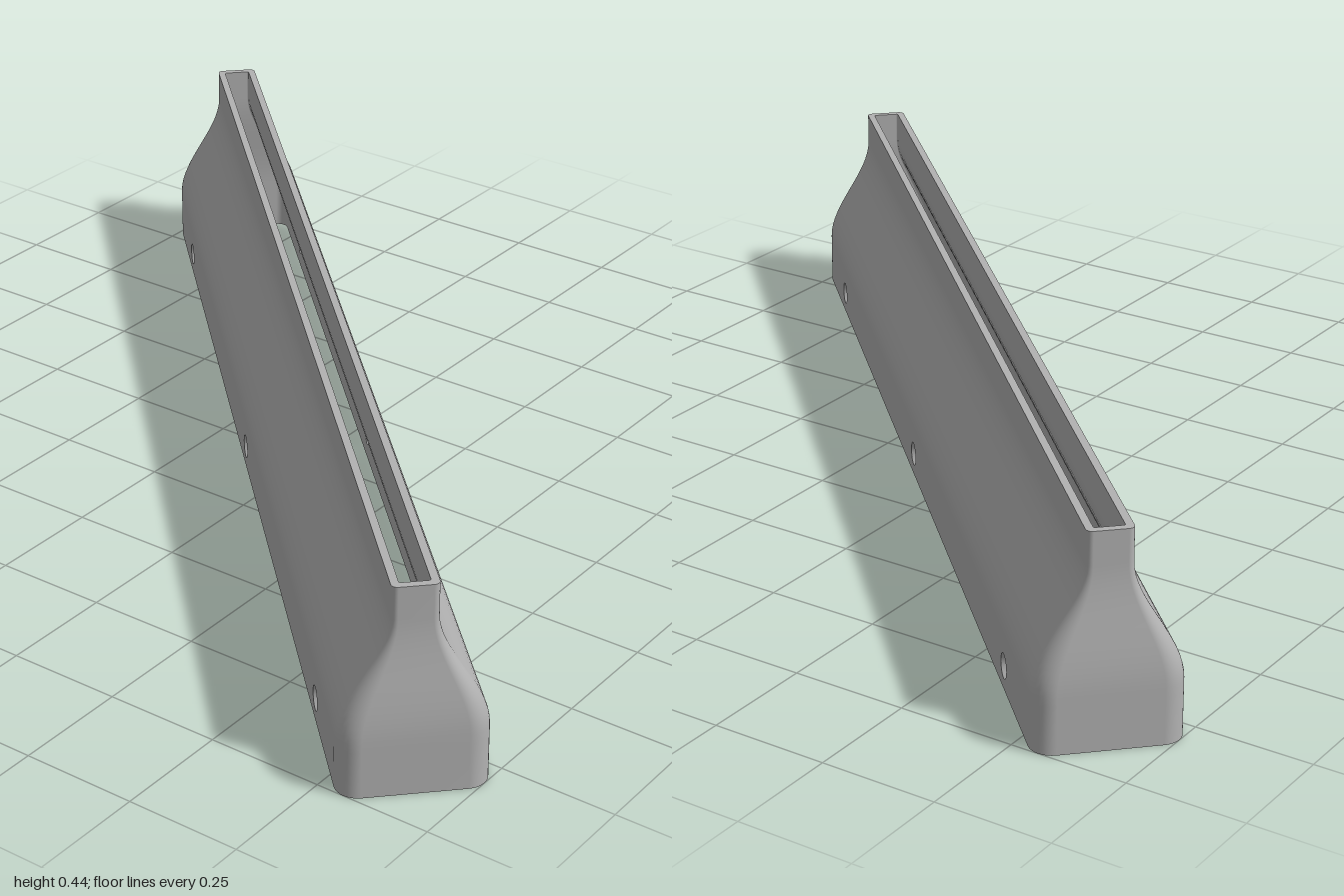
import * as THREE from 'three';

const BASE = { a: 1.293, b: 0.1475, r: 0.045 }; // half length, half width, corner radius
const NECK = { a: 1.269, b: 0.046, r: 0.013 };
const HEIGHT = 0.44, PANEL = 0.1, WALL = 0.02, RIM = 0.016, N = 8;
const SIDE = N + 1; // points per rounded corner

// Rounded-rectangle cross-section at height y, moved inwards for the inner skin
function ring(y, inner) {
  const s = THREE.MathUtils.smoothstep(y, 0.12, 0.37);
  const t = inner ? THREE.MathUtils.lerp(WALL, RIM, s) : 0;
  const mix = (k) => THREE.MathUtils.lerp(BASE[k], NECK[k], s) - t;
  const a = mix('a'), b = mix('b'), r = Math.max(mix('r'), 0.004);
  const points = [];
  for (let k = 0; k < 4; k++) {
    const cx = (k === 0 || k === 3 ? 1 : -1) * (a - r);
    const cz = (k < 2 ? 1 : -1) * (b - r);
    for (let i = 0; i <= N; i++) {
      const angle = (k + i / N) * Math.PI / 2;
      points.push([cx + r * Math.cos(angle), y, cz + r * Math.sin(angle)]);
    }
  }
  return points;
}

// Skin through the rings; openBand leaves out the long sides of one band
function loft(rings, openBand = -1) {
  const count = rings[0].length, full = [], kept = [];
  for (let j = 0; j < rings.length - 1; j++) {
    for (let i = 0; i < count; i++) {
      const a = j * count + i, b = j * count + (i + 1) % count;
      const quad = [a, a + count, b, b, a + count, b + count];
      full.push(...quad);
      const longSide = i === N || i === 2 * SIDE + N;
      if (!(j === openBand && longSide)) kept.push(...quad);
    }
  }
  const geometry = new THREE.BufferGeometry();
  geometry.setAttribute('position', new THREE.Float32BufferAttribute(rings.flat(2), 3));
  geometry.setIndex(full);
  geometry.computeVertexNormals();
  geometry.setIndex(kept);
  return geometry;
}

export function createModel() {
  const grey = new THREE.MeshStandardMaterial({ color: 0xb2b2b2, side: THREE.DoubleSide });
  grey.name = 'grey plastic';
  const model = new THREE.Group();
  model.name = 'slotNozzle';
  const body = new THREE.Group();
  body.name = 'nozzleBody';
  body.rotation.y = -Math.PI / 4; // lies along the diagonal
  model.add(body);

  const add = (parent, name, geometry) => {
    const mesh = new THREE.Mesh(geometry, grey);
    mesh.name = name;
    parent.add(mesh);
    return mesh;
  };

  // Outer and inner skins with their rims
  const levels = [0, PANEL];
  for (let i = 0; i <= 16; i++) levels.push(0.12 + 0.25 * i / 16);
  levels.push(HEIGHT);
  const outer = levels.map((y) => ring(y, false));
  const inner = levels.map((y) => ring(y, true)).reverse();
  add(body, 'outerShell', loft(outer, 0));
  add(body, 'innerShell', loft(inner, inner.length - 2));
  add(body, 'slotRim', loft([outer.at(-1), inner[0]]));
  add(body, 'baseRim', loft([inner.at(-1), outer[0]]));

  // Lower side panels pierced by three countersunk screw holes
  const holeX = [-1.02, 0, 1.02], holeY = 0.048, outerR = 0.026, innerR = 0.016;
  const half = BASE.a - BASE.r;
  const panel = (radius) => {
    const shape = new THREE.Shape();
    shape.moveTo(-half, 0).lineTo(half, 0).lineTo(half, PANEL).lineTo(-half, PANEL).closePath();
    for (const x of holeX) {
      shape.holes.push(new THREE.Path().absarc(x, holeY, radius, 0, Math.PI * 2, true));
    }
    return new THREE.ShapeGeometry(shape, 12);
  };
  for (const turn of [0, Math.PI]) {
    const side = new THREE.Group();
    side.name = turn ? 'backSide' : 'frontSide';
    side.rotation.y = turn;
    body.add(side);
    add(side, 'outerPanel', panel(outerR)).position.z = BASE.b;
    const inside = add(side, 'innerPanel', panel(innerR).rotateY(Math.PI));
    inside.position.z = BASE.b - WALL;
    for (const x of holeX) {
      const hole = new THREE.CylinderGeometry(outerR, innerR, WALL, 24, 1, true).rotateX(Math.PI / 2);
      add(side, 'screwHole', hole).position.set(x, holeY, BASE.b - WALL / 2);
    }
  }
  return model;
}
